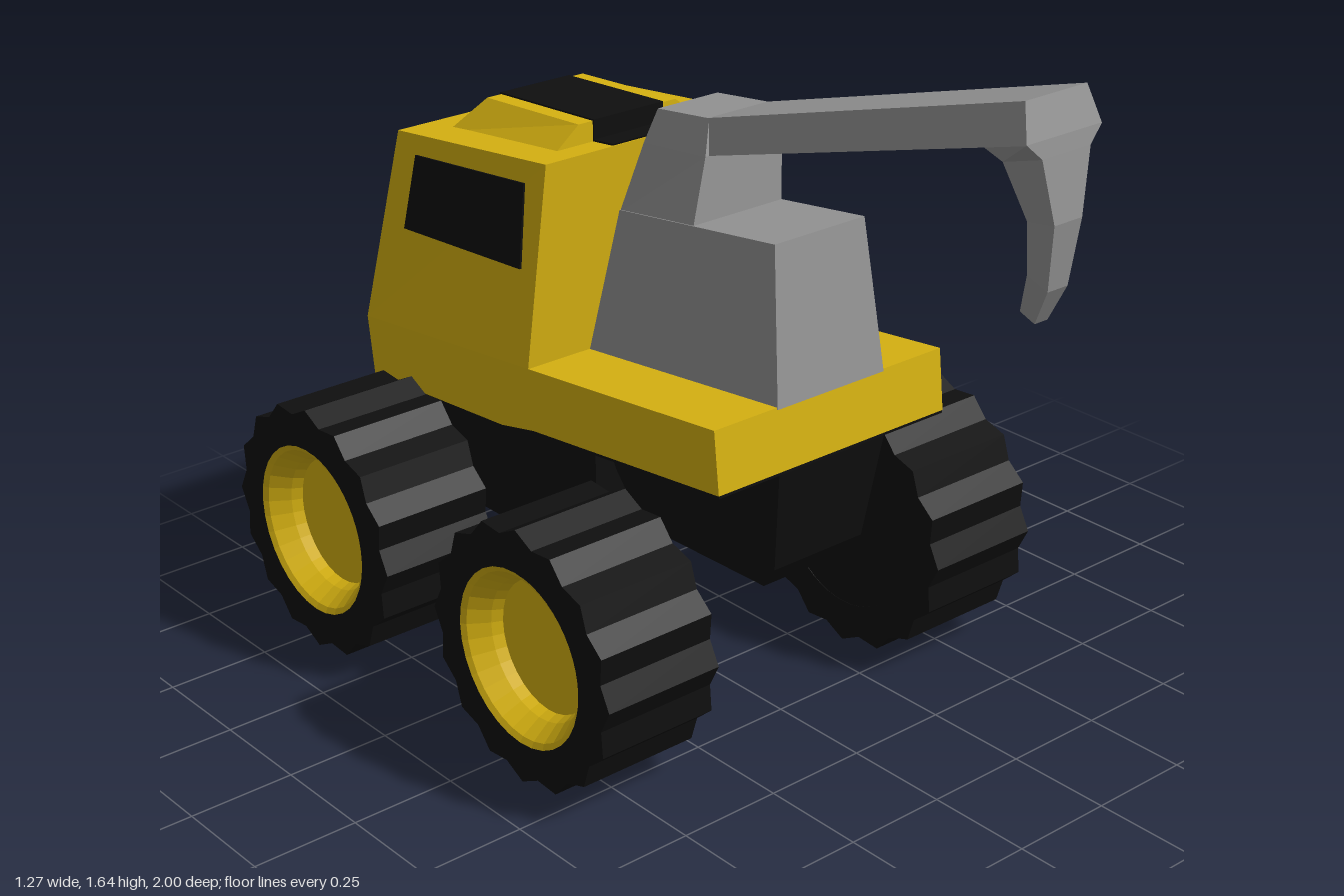
import * as THREE from 'three';

const mat = (name, color) => {
  const m = new THREE.MeshStandardMaterial({ color });
  m.name = name;
  return m;
};

// Four corners: front edge (zF, yF) spans xL..xR, back edge (zB, yB) spans xL2..xR2
const quad = (xL, xR, zF, yF, zB, yB, xL2 = xL, xR2 = xR) =>
  [[xL, yF, zF], [xR, yF, zF], [xR2, yB, zB], [xL2, yB, zB]];

// Closed, flat-shaded skin through a stack of four-cornered rings
function loft(rings) {
  const pos = [];
  const face = (a, b, c, d) => pos.push(...a, ...b, ...c, ...a, ...c, ...d);
  for (let r = 0; r < rings.length - 1; r++) {
    const lo = rings[r], hi = rings[r + 1];
    for (let i = 0; i < 4; i++) {
      const j = (i + 1) % 4;
      face(lo[i], lo[j], hi[j], hi[i]);
    }
  }
  face(...[...rings[0]].reverse());
  face(...rings[rings.length - 1]);
  const g = new THREE.BufferGeometry();
  g.setAttribute('position', new THREE.Float32BufferAttribute(pos, 3));
  g.computeVertexNormals();
  return g;
}

// Side profile of [z, y] points extruded across x, half width given by height
function prism(profile, halfWidth) {
  const shape = new THREE.Shape(profile.map(([z, y]) => new THREE.Vector2(-z, y)));
  const g = new THREE.ExtrudeGeometry(shape, { depth: 1, bevelEnabled: false });
  g.rotateY(Math.PI / 2);
  const p = g.attributes.position;
  for (let i = 0; i < p.count; i++) p.setX(i, (p.getX(i) - 0.5) * 2 * halfWidth(p.getY(i)));
  g.computeVertexNormals();
  return g;
}

// Thin plate lying on a surface, corners counter-clockwise from outside
function plate(corners, t = 0.004) {
  const v = corners.map((c) => new THREE.Vector3(...c));
  const n = v[1].clone().sub(v[0]).cross(v[3].clone().sub(v[0])).normalize();
  const shift = (d) => v.map((p) => p.clone().addScaledVector(n, d).toArray());
  return loft([shift(-t), shift(t)]);
}

export function createModel() {
  const yellow = mat('yellow paint', 0xdab512);
  const black = mat('black', 0x0f0f0f);
  const grey = mat('crane grey', 0x969696);

  const model = new THREE.Group();
  model.name = 'craneTruck';
  const add = (name, geometry, material, parent = model) => {
    const mesh = new THREE.Mesh(geometry, material);
    mesh.name = name;
    parent.add(mesh);
    return mesh;
  };

  // Bed and lower body
  add('bed', prism([[0.41, 0.71], [0.395, 0.855], [-0.235, 0.785], [-0.87, 0.715],
    [-0.85, 0.57], [-0.34, 0.612], [-0.22, 0.638]], () => 0.33), yellow);
  add('underside', prism([[0.409, 0.711], [-0.22, 0.639], [-0.34, 0.613], [-0.849, 0.571],
    [-0.849, 0.564], [-0.34, 0.605], [-0.22, 0.631], [0.409, 0.703]], () => 0.329), black);

  // Cab, narrowing towards the roof
  const cabHalf = (y) => Math.min(0.33, 0.33 - (y - 0.8) * 0.088);
  const cabBack = (y) => (y > 0.715
    ? -0.87 + (y - 0.715) * (0.115 / 0.49)
    : -0.87 + (0.715 - y) * (0.02 / 0.145));
  add('cab', prism([[-0.235, 0.785], [-0.205, 1.265], [-0.755, 1.205], [-0.87, 0.715]], cabHalf), yellow);

  // Raised roof with its stripe
  add('roofRise', loft([
    quad(-0.21, 0.21, -0.278, 1.25, -0.675, 1.205),
    quad(-0.14, 0.14, -0.278, 1.305, -0.615, 1.285),
  ]), yellow);
  add('roofStripe', prism([[-0.207, 1.269], [-0.274, 1.262], [-0.274, 1.309], [-0.617, 1.289],
    [-0.68, 1.218], [-0.66, 1.19], [-0.22, 1.24]], () => 0.1), black);

  // Side windows
  const win = [[-0.275, 1.008], [-0.715, 0.98], [-0.68, 1.165], [-0.275, 1.205]];
  for (const s of [1, -1]) {
    const corners = win.map(([z, y]) => [s * cabHalf(y), y, z]);
    add(s > 0 ? 'leftWindow' : 'rightWindow', plate(s > 0 ? corners : corners.reverse()), black);
  }

  // Windscreen, grille slots and lower panel on the cab end
  const backPlate = (name, lo, hi, wLo, wHi, material) => add(name, plate([
    [wLo, lo, cabBack(lo)], [-wLo, lo, cabBack(lo)],
    [-wHi, hi, cabBack(hi)], [wHi, hi, cabBack(hi)],
  ]), material);
  backPlate('windscreen', 0.98, 1.165, 0.275, 0.26, black);
  backPlate('grilleSlot', 0.89, 0.925, 0.15, 0.17, black);
  backPlate('grilleSlot', 0.81, 0.845, 0.12, 0.14, black);
  backPlate('lowerPanel', 0.625, 0.665, 0.165, 0.165, yellow);

  // Chassis blocks under the bed and the cab
  add('bedChassis', prism([[0.405, 0.708], [0.365, 0.45], [0.32, 0.39], [-0.1, 0.38],
    [-0.165, 0.5], [-0.215, 0.635]], (y) => Math.min(0.155, 0.12 + (y - 0.39) * 0.16)), black);
  add('cabChassis', prism([[-0.22, 0.635], [-0.22, 0.3], [-0.4, 0.272], [-0.6, 0.226],
    [-0.8, 0.226], [-0.91, 0.3], [-0.91, 0.46], [-0.85, 0.575]], () => 0.155), black);

  // Crane: base, column, boom
  add('craneBase', loft([
    quad(-0.155, 0.155, 0.397, 0.85, -0.235, 0.78),
    quad(-0.125, 0.132, 0.35, 1.2, -0.157, 1.135),
  ]), grey);
  add('craneColumn', loft([
    quad(-0.124, 0.132, 0.09, 1.16, -0.157, 1.13),
    quad(-0.08, 0.14, 0.08, 1.31, -0.125, 1.29),
    quad(-0.052, 0.12, 0.06, 1.385, -0.11, 1.365),
  ]), grey);
  add('boom', loft([
    quad(-0.07, 0.14, 0.07, 1.307, 0.05, 1.383, -0.052, 0.12),
    quad(-0.07, 0.14, 0.98, 1.565, 0.955, 1.643, -0.052, 0.12),
  ]), grey);
  add('boomMarker', plate([[0.11, 1.515, 0.805], [0.139, 1.515, 0.805],
    [0.139, 1.564, 0.977], [0.11, 1.564, 0.977]].reverse(), 0.003).translate(0, -0.001, 0), yellow);

  // Hook, from its point up to the boom
  add('hook', loft([
    quad(0.028, 0.065, 0.935, 1.165, 0.895, 1.18),
    quad(0.01, 0.067, 0.98, 1.25, 0.925, 1.27),
    quad(-0.003, 0.075, 1.0, 1.395, 0.93, 1.385),
    quad(-0.03, 0.105, 0.985, 1.53, 0.885, 1.5),
    quad(-0.07, 0.14, 0.98, 1.566, 0.82, 1.521, -0.03, 0.105),
  ]), grey);

  // Wheels: toothed tyre, black inner disc, dished hub
  const teeth = 16;
  const outline = [];
  for (let i = 0; i < teeth * 2; i++) {
    const a = -Math.PI / 2 + (i * Math.PI) / teeth;
    const r = i % 2 ? 0.285 : 0.308;
    outline.push(new THREE.Vector2(r * Math.cos(a), r * Math.sin(a)));
  }
  const tyreShape = new THREE.Shape(outline);
  tyreShape.holes.push(new THREE.Path().absarc(0, 0, 0.205, 0, Math.PI * 2, true));
  const tyre = new THREE.ExtrudeGeometry(tyreShape, { depth: 0.3, bevelEnabled: false, curveSegments: 24 });
  tyre.rotateY(Math.PI / 2);
  const disc = new THREE.CylinderGeometry(0.21, 0.21, 0.02, 32).rotateZ(Math.PI / 2).translate(0.011, 0, 0);
  const hubProfile = [[0.208, 0.303], [0.195, 0.295], [0.165, 0.25], [0.155, 0.225], [0, 0.225]]
    .map(([r, y]) => new THREE.Vector2(r, y));
  const hub = new THREE.LatheGeometry(hubProfile, 32).rotateZ(-Math.PI / 2).toNonIndexed();
  hub.computeVertexNormals();

  for (const s of [1, -1]) {
    for (const z of [0.105, -0.693]) {
      const wheel = new THREE.Group();
      wheel.name = (z > 0 ? 'bed' : 'cab') + (s > 0 ? 'LeftWheel' : 'RightWheel');
      add('tyre', tyre, black, wheel);
      add('innerDisc', disc, black, wheel);
      add('hub', hub, yellow, wheel);
      wheel.position.set(s * 0.332, 0.308, z);
      if (s < 0) wheel.rotation.y = Math.PI;
      model.add(wheel);
    }
  }
  return model;
}
